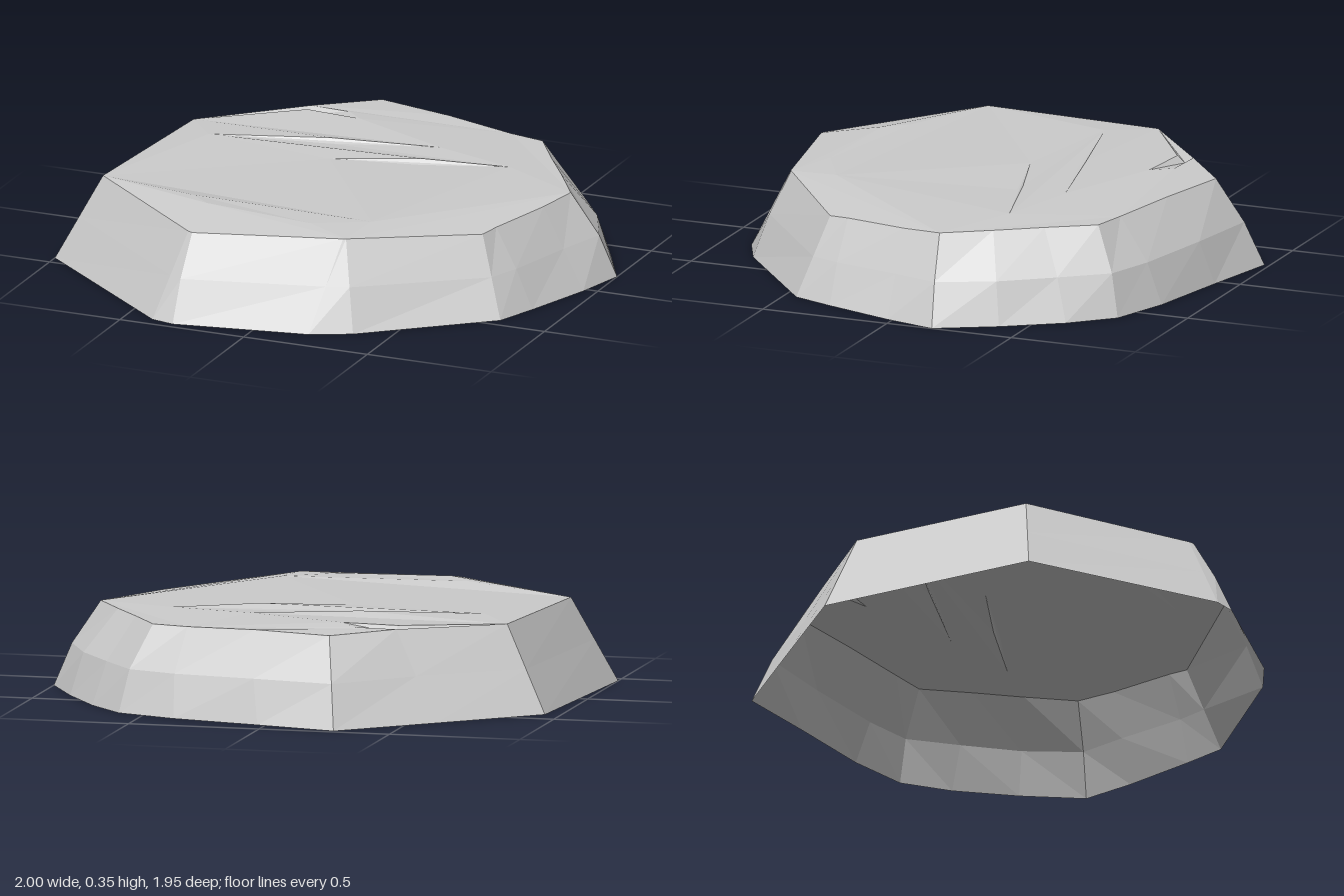
import * as THREE from 'three';

// Columns round the slab: base x, z | top rim x, y, z | outward bulge halfway up
const COLUMNS = [
  [-0.28, -0.98, -0.22, 0.33, -0.81, 0.015],
  [0.03, -0.91, 0.08, 0.33, -0.74, 0.035],
  [0.37, -0.84, 0.36, 0.32, -0.67, 0.035],
  [0.6, -0.76, 0.5, 0.32, -0.64, 0.03],
  [0.74, -0.61, 0.61, 0.32, -0.47, 0.03],
  [0.88, -0.4, 0.72, 0.32, -0.31, 0.04],
  [1.0, -0.18, 0.83, 0.32, -0.14, 0.02],
  [0.95, 0.02, 0.79, 0.31, 0.02, 0],
  [0.86, 0.29, 0.71, 0.3, 0.28, 0.01],
  [0.8, 0.45, 0.69, 0.295, 0.36, 0],
  [0.36, 0.81, 0.28, 0.325, 0.69, 0.01],
  [0.21, 0.88, 0.27, 0.325, 0.695, 0],
  [-0.3, 0.97, -0.29, 0.31, 0.81, 0.01],
  [-0.39, 0.95, -0.31, 0.31, 0.8, 0],
  [-1.0, 0.45, -0.84, 0.32, 0.37, 0],
  [-0.94, -0.4, -0.78, 0.325, -0.34, 0],
  [-0.6, -0.7, -0.43, 0.335, -0.63, 0],
];

// Facets inside the top: two stepped cracks, a chip by the back rim, a low front ridge
const FACETS = [
  [[-0.65, 0.335, -0.18], [-0.2, 0.345, -0.295], [0.2, 0.335, -0.38], [-0.2, 0.33, -0.27]],
  [[-0.13, 0.335, -0.1], [0.2, 0.345, -0.21], [0.52, 0.33, -0.29], [0.2, 0.328, -0.185]],
  [[-0.42, 0.315, -0.6], [-0.27, 0.335, -0.62], [-0.2, 0.34, -0.55], [-0.42, 0.34, -0.57]],
  [[-0.42, 0.343, 0.5], [-0.33, 0.348, 0.58], [0.1, 0.337, 0.61], [0.3, 0.335, 0.5]],
];

function flatGeometry(points, triangles) {
  const geometry = new THREE.BufferGeometry().setFromPoints(points);
  geometry.setIndex(triangles.flat());
  const flat = geometry.toNonIndexed();
  flat.computeVertexNormals();
  return flat;
}

// Sloping sides: base, middle and rim rings, open underneath
function sideGeometry() {
  const points = COLUMNS.flatMap(([bx, bz, tx, ty, tz, bulge]) => {
    const base = new THREE.Vector3(bx, 0, bz);
    const rim = new THREE.Vector3(tx, ty, tz);
    const middle = base.clone().lerp(rim, 0.5);
    const outward = new THREE.Vector3(middle.x, 0, middle.z).normalize();
    return [base, middle.addScaledVector(outward, bulge), rim];
  });
  const triangles = [];
  COLUMNS.forEach((_, i) => {
    const next = (i + 1) % COLUMNS.length;
    for (let k = 0; k < 2; k++) {
      const a = i * 3 + k, b = next * 3 + k;
      triangles.push([a, a + 1, b], [b, a + 1, b + 1]);
    }
  });
  return flatGeometry(points, triangles);
}

// Uneven top: the rim polygon triangulated round the facets, which are then filled
function topGeometry() {
  const rim = COLUMNS.map(([, , x, y, z]) => new THREE.Vector3(x, y, z));
  const facets = FACETS.map((f) => f.map((p) => new THREE.Vector3(...p)));
  const flatten = (ring) => ring.map((p) => new THREE.Vector2(p.x, p.z));
  const points = [...rim, ...facets.flat()];
  const triangles = THREE.ShapeUtils.triangulateShape(flatten(rim), facets.map(flatten));
  let start = rim.length;
  for (const facet of facets) {
    triangles.push([start, start + 1, start + 2], [start, start + 2, start + 3]);
    start += facet.length;
  }
  // Turn every triangle to face up
  const upward = triangles.map(([a, b, c]) => {
    const ab = points[b].clone().sub(points[a]);
    const ac = points[c].clone().sub(points[a]);
    return ab.cross(ac).y < 0 ? [a, c, b] : [a, b, c];
  });
  return flatGeometry(points, upward);
}

export function createModel() {
  const group = new THREE.Group();
  group.name = 'rockSlab';
  const stone = new THREE.MeshStandardMaterial({
    color: 0xcccccc, flatShading: true, side: THREE.DoubleSide,
  });
  const sides = new THREE.Mesh(sideGeometry(), stone);
  sides.name = 'rockSides';
  const top = new THREE.Mesh(topGeometry(), stone);
  top.name = 'rockTop';
  group.add(sides, top);
  return group;
}
